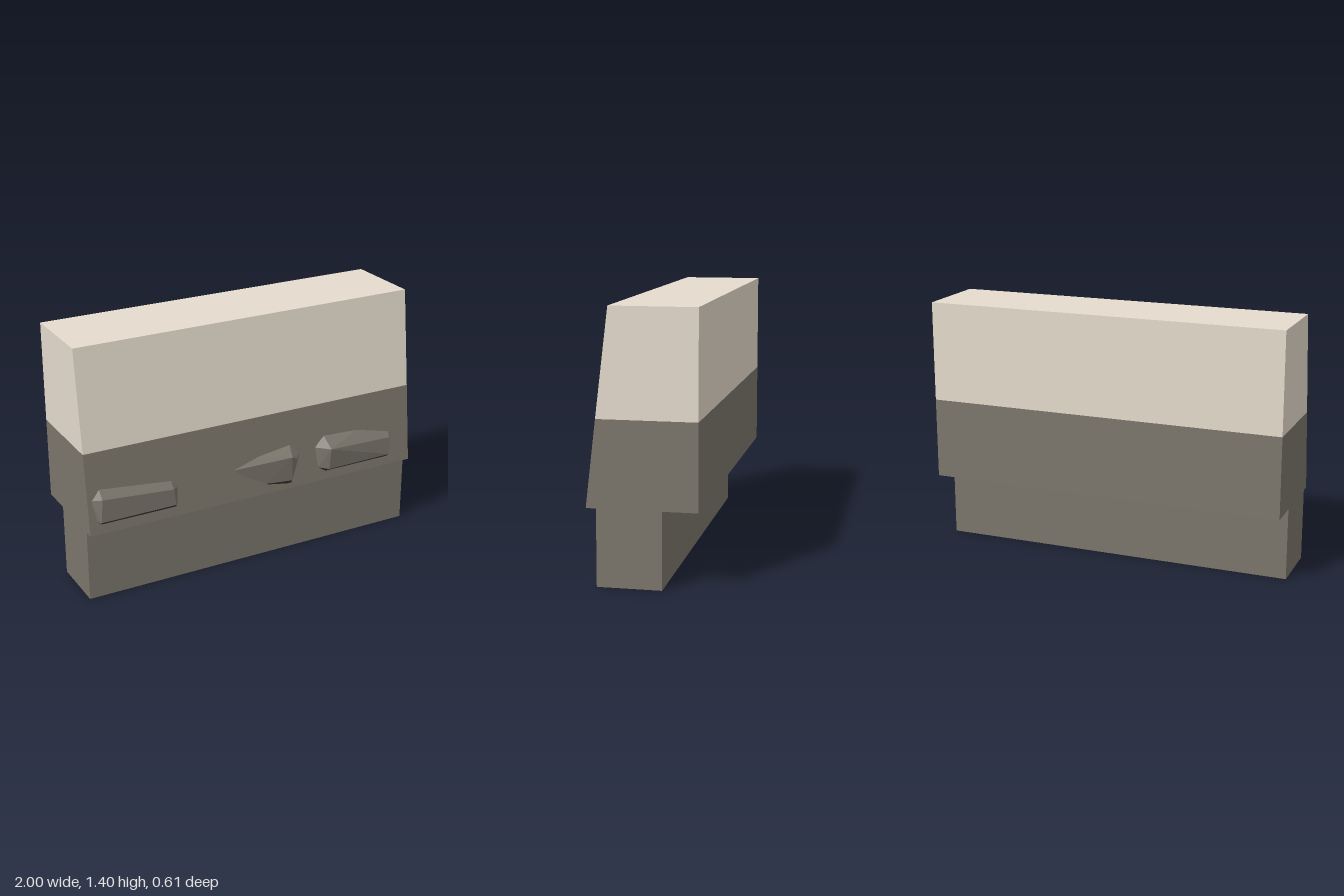
import * as THREE from 'three';
import { ConvexGeometry } from 'three/addons/geometries/ConvexGeometry.js';

function mat(name, color) {
  const m = new THREE.MeshStandardMaterial({ color });
  m.name = name;
  return m;
}

// Mesh whose downward-facing triangles take the underside material.
function part(name, geo, material, underside) {
  const normal = geo.attributes.normal;
  geo.clearGroups();
  for (let i = 0; i < normal.count; i += 3) {
    geo.addGroup(i, 3, normal.getY(i) < -0.5 ? 1 : 0);
  }
  const mesh = new THREE.Mesh(geo, [material, underside]);
  mesh.name = name;
  return mesh;
}

// Extrudes a side profile of [z, y] points along the full width of the wall.
function wallSection(profile) {
  const shape = new THREE.Shape(profile.map(([z, y]) => new THREE.Vector2(z, y)));
  const geo = new THREE.ExtrudeGeometry(shape, { depth: 2, bevelEnabled: false });
  return geo.rotateY(-Math.PI / 2).translate(1, 0, 0);
}

// Faceted stone: hull of its corners, with the rim continued into the wall.
function stone(front, rim) {
  const pts = front.map((p) => new THREE.Vector3(...p));
  for (const [x, y, z] of rim) {
    pts.push(new THREE.Vector3(x, y, z), new THREE.Vector3(x, y, 0.15));
  }
  return new ConvexGeometry(pts);
}

export function createModel() {
  const model = new THREE.Group();
  model.name = 'wallSegment';
  const plaster = mat('palePlaster', 0xe5dbcd);
  const rock = mat('darkStone', 0x7b766c);
  const under = mat('blackUnderside', 0x393939);

  // Narrow foot, overhanging plinth and sloped upper wall
  const foundation = wallSection([[-0.122, 0], [0.21, 0], [0.21, 0.4], [-0.122, 0.4]]);
  const plinth = wallSection([[-0.302, 0.4], [0.262, 0.4], [0.21, 0.847], [-0.302, 0.847]]);
  const upper = wallSection([[-0.302, 0.847], [0.21, 0.847], [0.143, 1.4], [-0.302, 1.4]]);

  // Stones protruding from the sloped face
  const rightStone = stone(
    [[-0.93, 0.6, 0.275], [-0.52, 0.565, 0.272], [-0.94, 0.472, 0.277], [-0.51, 0.472, 0.274]],
    [[-0.98, 0.59, 0.235], [-0.96, 0.48, 0.245], [-0.94, 0.45, 0.252], [-0.5, 0.45, 0.252],
      [-0.484, 0.48, 0.245], [-0.484, 0.56, 0.24], [-0.52, 0.605, 0.235], [-0.93, 0.648, 0.23]]);
  const middleStone = stone(
    [[0.195, 0.6, 0.292], [0.205, 0.452, 0.277], [0.23, 0.58, 0.28], [0.05, 0.459, 0.26]],
    [[-0.17, 0.575, 0.238], [0, 0.625, 0.232], [0.21, 0.652, 0.23], [0.275, 0.59, 0.235],
      [0.14, 0.396, 0.228], [0.215, 0.394, 0.228]]);
  const leftStone = stone(
    [[0.44, 0.6, 0.304], [0.86, 0.57, 0.265], [0.44, 0.472, 0.288], [0.85, 0.469, 0.275]],
    [[0.37, 0.6, 0.236], [0.385, 0.48, 0.25], [0.435, 0.45, 0.256], [0.85, 0.45, 0.254],
      [0.88, 0.57, 0.238], [0.86, 0.6, 0.236], [0.66, 0.648, 0.231], [0.43, 0.657, 0.236]]);

  model.add(
    part('foundation', foundation, rock, under),
    part('plinth', plinth, rock, under),
    part('upperWall', upper, plaster, under),
    part('rightStone', rightStone, rock, under),
    part('middleStone', middleStone, rock, under),
    part('leftStone', leftStone, rock, under),
  );
  return model;
}
